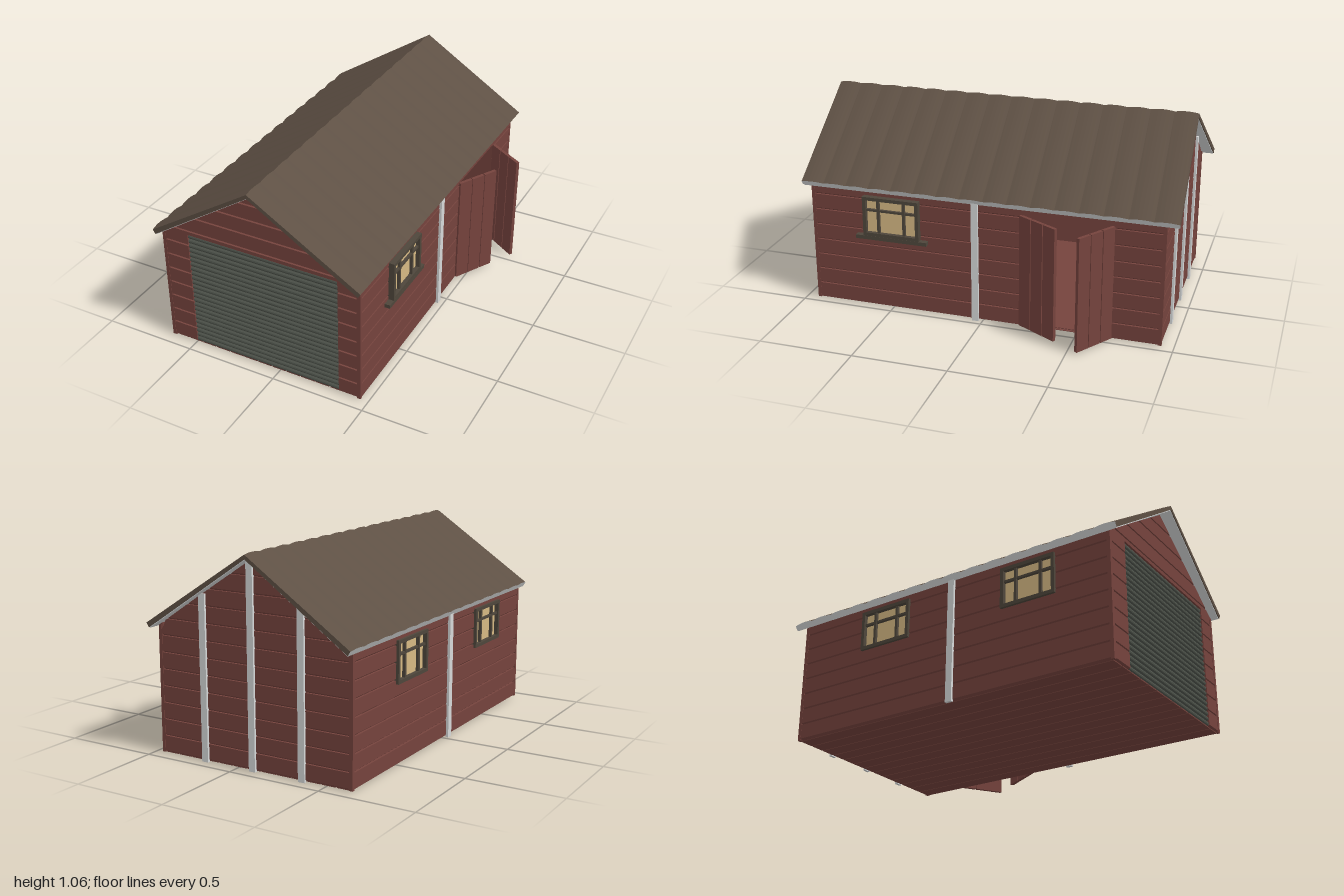
import * as THREE from 'three';
import { mergeGeometries } from 'three/addons/utils/BufferGeometryUtils.js';

const mat = (name, color, extra = {}) => new THREE.MeshStandardMaterial({ name, color, ...extra });

// Main sizes, measured from the ridge line
const HALF_W = 0.552, HALF_L = 0.935, RUN = 0.577, PITCH = 0.0855;
const RIDGE = 1.053, SLOPE = 0.655;
const ANGLE = Math.atan(SLOPE), COS = Math.cos(ANGLE), SIN = Math.sin(ANGLE);
const gableLimit = (y) => Math.max(0, (1.022 - y) / SLOPE);

// Extrudes a profile of [outward, height] points along a wall from a to b
function run(points, a, b) {
  const shape = new THREE.Shape(points.map(([x, y]) => new THREE.Vector2(x, y)));
  return new THREE.ExtrudeGeometry(shape, { depth: b - a, bevelEnabled: false }).translate(0, 0, a);
}

// Horizontal boards with a bevelled lower edge, split around openings [a, b, y0, y1]
function siding(halfLength, top, openings, gable) {
  const parts = [];
  for (let i = 0; 0.005 + i * PITCH < top; i++) {
    const y0 = 0.005 + i * PITCH, y1 = Math.min(y0 + PITCH, top);
    const cuts = openings.flatMap((o) => [o[2], o[3]]).filter((y) => y > y0 && y < y1);
    const ys = [...new Set([y0, ...cuts, y1])].sort((p, q) => p - q);
    for (let k = 0; k < ys.length - 1; k++) {
      const lo = ys[k], hi = ys[k + 1], mid = (lo + hi) / 2;
      const holes = openings.filter((o) => mid > o[2] && mid < o[3]).sort((p, q) => p[0] - q[0]);
      const bevel = k === 0 ? Math.min(0.009, (hi - lo) * 0.6) : 0;
      const profile = bevel
        ? [[-0.02, lo], [-0.012, lo], [0, lo + bevel], [0, hi], [-0.02, hi]]
        : [[-0.02, lo], [0, lo], [0, hi], [-0.02, hi]];
      let start = -halfLength;
      for (const h of [...holes, [halfLength, halfLength]]) {
        if (h[0] > start) parts.push(run(profile, start, h[0]));
        start = h[1];
      }
    }
  }
  const geo = mergeGeometries(parts.map((p) => { p.clearGroups(); return p; }));
  if (gable) {
    // Trim board ends to the roof slope
    const p = geo.attributes.position;
    for (let i = 0; i < p.count; i++) {
      const lim = gableLimit(p.getY(i));
      p.setZ(i, THREE.MathUtils.clamp(p.getZ(i), -lim, lim));
    }
    geo.computeVertexNormals();
  }
  return geo;
}

// Bends a flat sheet (z, thickness, distance from ridge) onto one roof slope
function roofSheet(points, side) {
  const length = RUN / COS;
  const geo = run(points, 0, length);
  const p = geo.attributes.position;
  for (let i = 0; i < p.count; i++) {
    const z = p.getX(i), h = p.getY(i), s = p.getZ(i), t = s / length;
    p.setXYZ(i, side * (s * COS + h * SIN * t), RIDGE - s * SIN + h * COS,
      -side * z + 0.01 - 0.02 * t);
  }
  geo.computeVertexNormals();
  return geo;
}

export function createModel() {
  const red = mat('red timber', 0x75433d, { side: THREE.DoubleSide });
  const brown = mat('roof brown', 0x5e5044);
  const frameMat = mat('window frame brown', 0x4e463b);
  const white = mat('pale trim', 0xd6d8d8);
  const steel = mat('shutter grey green', 0x4e534b);
  const glass = mat('warm pane', 0xd6b983);

  const model = new THREE.Group();
  model.name = 'garage';
  const house = new THREE.Group();
  house.name = 'building';
  house.position.x = -0.0925;
  model.add(house);

  const add = (name, geo, material, parent = house) => {
    const m = new THREE.Mesh(geo, material);
    m.name = name;
    parent.add(m);
    return m;
  };
  const box = (name, material, w, h, d, x, y, z, parent) =>
    add(name, new THREE.BoxGeometry(w, h, d).translate(x, y, z), material, parent);

  // Walls; local +x is outward, local z runs along the wall
  const winHole = (z) => [z - 0.14, z + 0.14, 0.425, 0.62];
  const walls = [
    ['rightWall', 0, [HALF_W, 0], HALF_L, 0.668, [winHole(0.4875), [-0.68, -0.2, 0.012, 0.62]], false],
    ['leftWall', Math.PI, [-HALF_W, 0], HALF_L, 0.668, [winHole(-0.4875), winHole(0.38)], false],
    ['frontWall', -Math.PI / 2, [0, HALF_L], 0.545, 1.022, [[-0.432, 0.403, 0, 0.67]], true],
    ['backWall', Math.PI / 2, [0, -HALF_L], 0.545, 1.022, [], true],
  ];
  for (const [name, turn, [x, z], half, top, openings, gable] of walls) {
    const wall = add(name, siding(half, top, openings, gable), red);
    wall.rotation.y = turn;
    wall.position.set(x, 0, z);
  }

  // Corner boards
  for (const sx of [-1, 1]) for (const sz of [-1, 1]) {
    box('cornerBoard', red, 0.018, 0.655, 0.018, sx * 0.544, 0.3325, sz * 0.928);
  }

  // Floor boards
  const boards = 13, bw = (2 * HALF_W - 0.02) / boards;
  for (let i = 0; i < boards; i++) {
    box('floorBoard', red, bw - 0.006, 0.012, 1.85, (i - (boards - 1) / 2) * bw, 0.008, 0);
  }
  box('floorBase', red, 2 * HALF_W - 0.03, 0.008, 1.85, 0, 0.012, 0);

  // Roller shutter with rounded slats
  const slats = 24, slatH = 0.664 / slats, wave = [[-0.008, 0.006]];
  for (let i = 0; i < slats; i++) {
    const y = 0.006 + i * slatH;
    wave.push([0, y], [0.007, y + slatH * 0.25], [0.009, y + slatH * 0.5], [0.007, y + slatH * 0.75]);
  }
  wave.push([0, 0.67], [-0.008, 0.67]);
  const shutter = add('rollerShutter', run(wave, -0.432, 0.403), steel);
  shutter.rotation.y = -Math.PI / 2;
  shutter.position.z = HALF_L - 0.012;

  // Roof: scalloped sheets with pale eave ends and lining
  const waves = 16, steps = 6, half = 0.99;
  const sheet = [[-half, -0.026]];
  sheet.push([half, -0.026]);
  for (let i = waves * steps; i >= 0; i--) {
    const t = i / steps;
    sheet.push([-half + (2 * half * t) / waves, 0.007 * Math.abs(Math.sin(Math.PI * t))]);
  }
  const lining = [[-0.985, -0.03], [0.985, -0.03], [0.985, -0.024], [-0.985, -0.024]];
  for (const side of [-1, 1]) {
    const name = side > 0 ? 'right' : 'left';
    add(name + 'RoofSheet', roofSheet(sheet, side), [white, brown]);
    add(name + 'RoofLining', roofSheet(lining, side), white);
  }

  // Windows
  const addWindow = (name, side, z, out, sill) => {
    const g = new THREE.Group();
    g.name = name;
    g.position.set(side * (out - 0.025), 0.522, z);
    house.add(g);
    for (const s of [-1, 1]) {
      box('frameSide', frameMat, 0.05, 0.215, 0.018, 0, 0, s * 0.144, g);
      box('frameRail', frameMat, 0.05, 0.018, 0.272, 0, s * 0.0985, 0, g);
      box('mullion', frameMat, 0.036, 0.18, 0.014, 0, 0, s * 0.07, g);
    }
    box('crossBar', frameMat, 0.034, 0.012, 0.272, 0, 0.034, 0, g);
    box('pane', glass, 0.006, 0.182, 0.272, 0, 0, 0, g);
    if (sill) box('sill', frameMat, 0.05, 0.02, 0.39, 0, -0.118, 0, g);
  };
  addWindow('rightWindow', 1, 0.4875, 0.582, true);
  addWindow('leftFrontWindow', -1, 0.4875, 0.566, false);
  addWindow('leftBackWindow', -1, -0.38, 0.566, false);

  // Pale posts on the sides and back
  for (const side of [-1, 1]) box('sidePost', white, 0.016, 0.66, 0.036, side * 0.557, 0.33, 0.038);
  for (const x of [-0.28, 0, 0.28]) {
    const h = Math.min(1.015, gableLimit(0) * SLOPE - Math.abs(x) * SLOPE);
    box('backPost', white, 0.036, h, 0.016, x, h / 2, -HALF_L - 0.004);
  }

  // Open double doors, three upright boards each
  const addDoor = (name, z0, x1, z1) => {
    const x0 = HALF_W, w = Math.hypot(x1 - x0, z1 - z0);
    const g = new THREE.Group();
    g.name = name;
    g.position.set(x0, 0.315, z0);
    g.rotation.y = -Math.atan2(z1 - z0, x1 - x0);
    house.add(g);
    for (let i = 0; i < 3; i++) {
      box('doorBoard', red, w / 3 - 0.005, 0.61, 0.018, (w * (i + 0.5)) / 3, 0, 0, g);
    }
    box('doorCore', red, w - 0.01, 0.6, 0.008, w / 2, 0, 0, g);
  };
  addDoor('frontDoorLeaf', -0.2, 0.672, -0.418);
  addDoor('backDoorLeaf', -0.678, 0.752, -0.545);

  return model;
}
